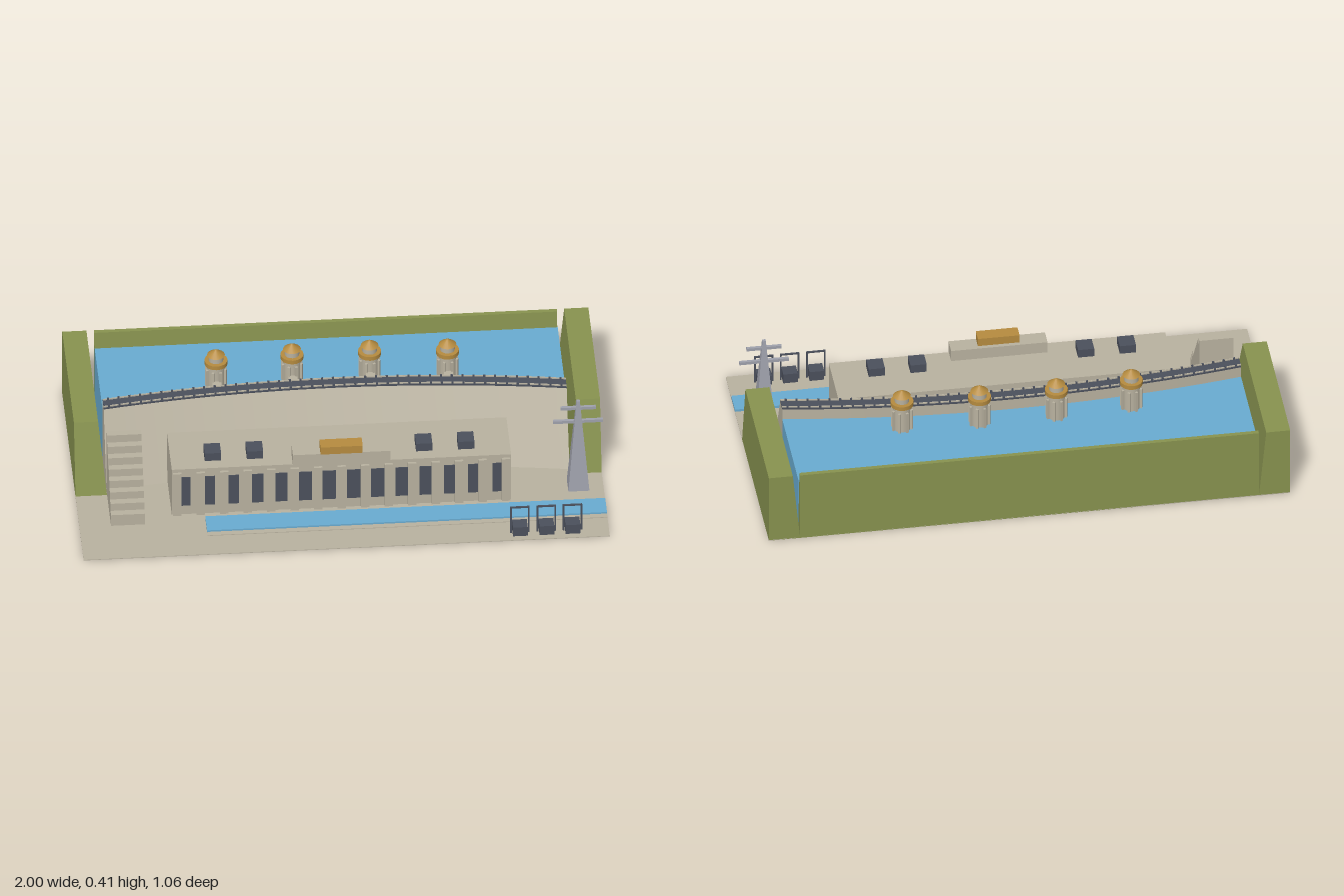
import * as THREE from 'three';
import { toCreasedNormals } from 'three/addons/utils/BufferGeometryUtils.js';

const mat = (name, color) => {
  const m = new THREE.MeshStandardMaterial({ color });
  m.name = name;
  return m;
};

export function createModel() {
  const concrete = mat('concrete', 0xb8b19f);
  const grass = mat('grass', 0x87924f);
  const water = mat('water', 0x69abd0);
  const dark = mat('dark slate', 0x4b505c);
  const gold = mat('gold', 0xb58b3f);
  const steel = mat('steel', 0x9fa1ac);

  const model = new THREE.Group();
  model.name = 'hydroelectricDam';

  const add = (name, geometry, material, parent = model) => {
    const mesh = new THREE.Mesh(geometry, material);
    mesh.name = name;
    parent.add(mesh);
    return mesh;
  };
  const group = (name) => {
    const g = new THREE.Group();
    g.name = name;
    model.add(g);
    return g;
  };
  // Box given by its limits on each axis
  const box = (name, material, [x0, x1], [y0, y1], [z0, z1], parent = model) => {
    const g = new THREE.BoxGeometry(x1 - x0, y1 - y0, z1 - z0);
    g.translate((x0 + x1) / 2, (y0 + y1) / 2, (z0 + z1) / 2);
    return add(name, g, material, parent);
  };
  // Moves the top vertices of a box mesh to make sloped sides
  const slopeTop = (mesh, move) => {
    const p = mesh.geometry.attributes.position;
    for (let i = 0; i < p.count; i++) {
      if (p.getY(i) < 0.1) continue;
      const v = new THREE.Vector3().fromBufferAttribute(p, i);
      move(v);
      p.setXYZ(i, v.x, v.y, v.z);
    }
    mesh.geometry.computeVertexNormals();
  };

  // Plan curve of the arched dam
  const W = 0.88;
  const arch = (x) => 0.07 * (x / W) ** 2;
  // Sweeps a closed (z, y) section along the arch; front edge runs upward
  const sweep = (name, section, material, parent) => {
    const steps = 24, n = section.length, pos = [], idx = [];
    for (let i = 0; i <= steps; i++) {
      const x = -W + (2 * W * i) / steps;
      for (const [z, y] of section) pos.push(x, y, z + arch(x));
    }
    for (let i = 0; i < steps; i++) {
      for (let k = 0; k < n; k++) {
        const a = i * n + k, b = i * n + ((k + 1) % n);
        idx.push(a, a + n, b, b, a + n, b + n);
      }
    }
    const e = steps * n;
    for (let k = 1; k < n - 1; k++) idx.push(0, k, k + 1, e, e + k + 1, e + k);
    const g = new THREE.BufferGeometry();
    g.setAttribute('position', new THREE.Float32BufferAttribute(pos, 3));
    g.setIndex(idx);
    return add(name, toCreasedNormals(g, 0.5), material, parent);
  };
  const strip = (z0, z1, y0, y1) => [[z1, y0], [z1, y1], [z0, y1], [z0, y0]];

  // Ground, hillsides and rear bank
  box('ground', concrete, [-1, 1], [0, 0.003], [-0.53, 0.53]);
  for (const s of [-1, 1]) {
    const hill = box('hillside', grass, s > 0 ? [W, 1] : [-1, -W], [0, 0.293], [-0.53, 0.128]);
    slopeTop(hill, (v) => {
      if (Math.abs(v.x) < 0.9) v.x = s * 0.908;
      if (v.z > 0) v.z = 0.048;
    });
  }
  const bank = box('rearBank', grass, [-W, W], [0, 0.293], [-0.53, -0.48]);
  slopeTop(bank, (v) => { if (v.z > -0.5) v.z = -0.513; });

  // Reservoir and tailrace
  box('reservoir', water, [-W, W], [0.003, 0.24], [-0.485, -0.09]);
  box('tailrace', water, [-0.52, 1], [0.003, 0.013], [0.303, 0.393]);
  box('tailraceKerb', concrete, [-0.52, 1], [0.003, 0.006], [0.393, 0.415]);

  // Arched dam with its crest road, kerbs and rail posts
  const dam = group('dam');
  sweep('damWall', [[0.03, 0], [-0.11, 0.288], [-0.16, 0.288], [-0.16, 0]], concrete, dam);
  sweep('crestRoad', strip(-0.162, -0.106, 0.286, 0.292), dark, dam);
  for (const z of [-0.156, -0.112]) {
    sweep('crestKerb', strip(z - 0.002, z + 0.002, 0.29, 0.297), concrete, dam);
    for (let i = 0; i <= 42; i++) {
      const x = -0.86 + (1.72 * i) / 42, c = z + arch(x);
      box('railPost', dark, [x - 0.004, x + 0.004], [0.29, 0.299], [c - 0.003, c + 0.003], dam);
    }
  }

  // Intake towers joined to the crest by short bridges
  for (const [x, z] of [[-0.44, -0.212], [-0.15, -0.227], [0.145, -0.227], [0.44, -0.212]]) {
    const tower = group('intakeTower');
    tower.position.set(x, 0, z);
    const drum = (name, r0, r1, y0, y1, material) => {
      const g = new THREE.CylinderGeometry(r1, r0, y1 - y0, 16);
      g.translate(0, (y0 + y1) / 2, 0);
      return add(name, g, material, tower);
    };
    drum('towerShaft', 0.034, 0.034, 0.1, 0.35, concrete);
    drum('towerCollar', 0.044, 0.044, 0.348, 0.365, gold);
    drum('towerLantern', 0.028, 0.028, 0.365, 0.391, concrete);
    drum('towerRoof', 0.034, 0.003, 0.389, 0.413, gold);
    for (let i = 0; i < 8; i++) {
      const rib = box('towerRib', concrete, [-0.005, 0.005], [0.1, 0.328], [0.03, 0.042], tower);
      rib.rotation.y = ((i + 0.5) * Math.PI) / 4;
    }
    box('towerBridge', concrete, [-0.017, 0.017], [0.275, 0.287], [0.02, -0.14 + arch(x) - z], tower);
  }

  // Powerhouse with pilasters, tall windows and roof fittings
  const house = group('powerhouse');
  box('hall', concrete, [-0.645, 0.645], [0, 0.215], [0.035, 0.27], house);
  for (let i = 0; i < 14; i++) {
    const x = -0.6 + (1.2 * i) / 13;
    box('window', dark, [x - 0.026, x + 0.026], [0.045, 0.178], [0.268, 0.273], house);
  }
  for (let i = 0; i < 15; i++) {
    const x = -0.625 + (1.25 * i) / 14;
    box('pilaster', concrete, [x - 0.016, x + 0.016], [0, 0.2], [0.268, 0.28], house);
  }
  box('entranceParapet', concrete, [-0.185, 0.185], [0.215, 0.262], [0.212, 0.276], house);
  box('goldBlock', gold, [-0.08, 0.08], [0.262, 0.295], [0.228, 0.28], house);
  for (const x of [-0.485, -0.325, 0.318, 0.478]) {
    box('roofVent', dark, [x - 0.031, x + 0.031], [0.215, 0.25], [0.16, 0.224], house);
  }

  // Stairway climbing to the dam
  const stairs = group('stairway');
  for (let i = 0; i < 8; i++) {
    const z = 0.323 - i * 0.0278;
    box('step', concrete, [-0.88, -0.75], [0, 0.053 + i * 0.0331], [z - 0.0278, z], stairs);
  }

  // Transformers with wire frames over them
  for (const x of [0.662, 0.763, 0.862]) {
    const unit = group('transformer');
    box('transformerTank', dark, [x - 0.028, x + 0.028], [0, 0.044], [0.455, 0.506], unit);
    for (const s of [-1, 1]) {
      const c = x + s * 0.034;
      box('framePost', dark, [c - 0.003, c + 0.003], [0, 0.122], [0.477, 0.483], unit);
    }
    box('frameBeam', dark, [x - 0.037, x + 0.037], [0.117, 0.123], [0.477, 0.483], unit);
  }

  // Power pylon
  const pylon = group('pylon');
  pylon.position.set(0.905, 0, 0.2);
  const mast = new THREE.CylinderGeometry(0.009, 0.057, 0.403, 4).toNonIndexed();
  mast.rotateY(Math.PI / 4);
  mast.translate(0, 0.2015, 0);
  mast.computeVertexNormals();
  add('pylonMast', mast, steel, pylon);
  for (const [y, half] of [[0.368, 0.067], [0.306, 0.095]]) {
    box('crossArm', steel, [-half, half], [y - 0.006, y + 0.006], [-0.006, 0.006], pylon);
  }
  return model;
}
